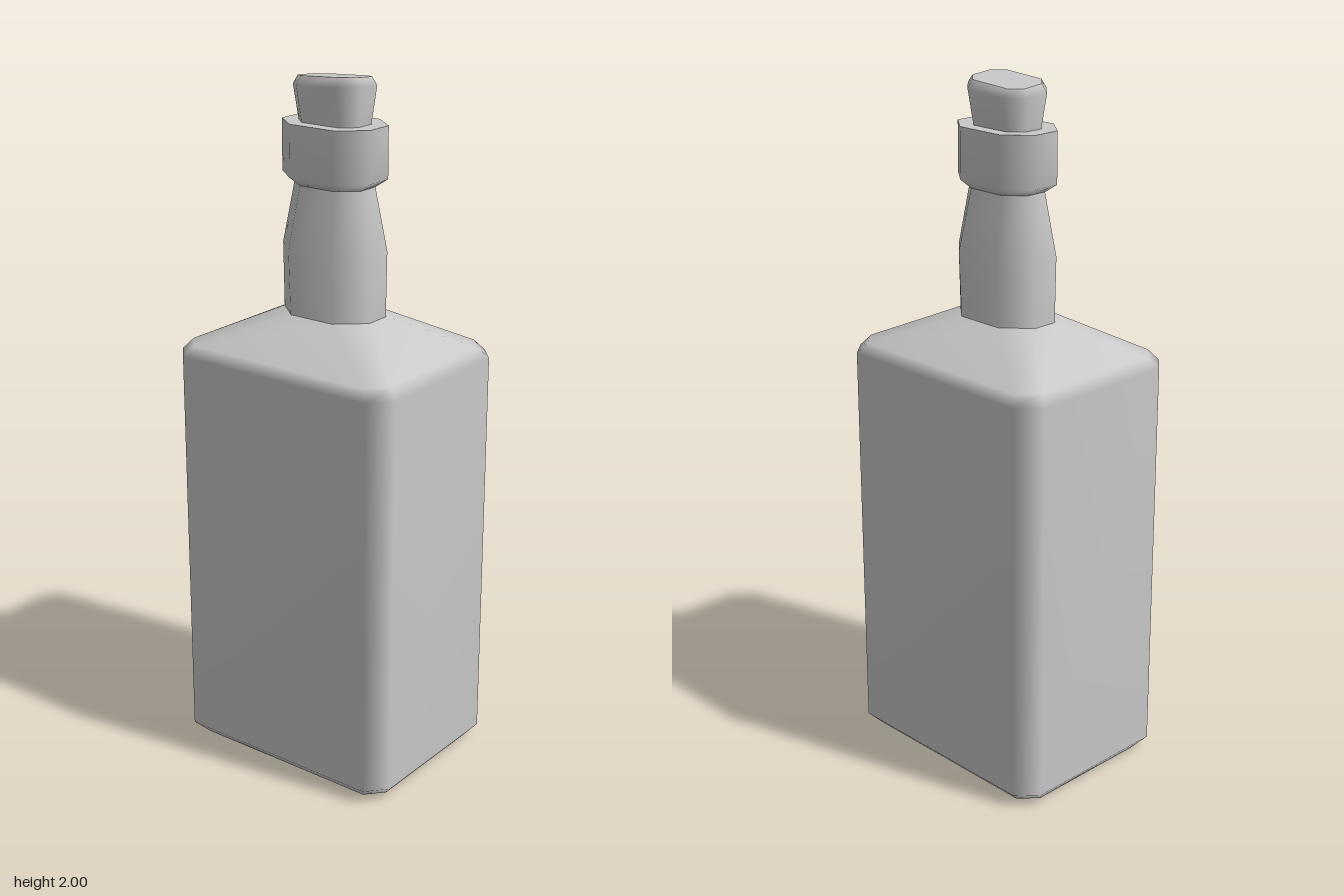
import * as THREE from 'three';

// Cut-corner rectangle in the xz plane: half sizes hx, hz and corner cuts cx, cz
function octagon(y, hx, hz, cx, cz, tiltX = 0, tiltZ = 0) {
  const ax = hx - cx, az = hz - cz;
  return [[hx, -az], [hx, az], [ax, hz], [-ax, hz], [-hx, az], [-hx, -az], [-ax, -hz], [ax, -hz]]
    .map(([x, z]) => [x, y + x * tiltX + z * tiltZ, z]);
}

// Smooth skin over a stack of rings, optionally closed at the ends
function loft(rings, capBottom, capTop) {
  const n = rings[0].length, index = [], last = (rings.length - 1) * n;
  for (let i = 0; i < rings.length - 1; i++) {
    for (let j = 0; j < n; j++) {
      const k = (j + 1) % n, a = i * n + j, b = i * n + k;
      index.push(a, a + n, b, b, a + n, b + n);
    }
  }
  for (let j = 1; j < n - 1; j++) {
    if (capBottom) index.push(0, j, j + 1);
    if (capTop) index.push(last, last + j + 1, last + j);
  }
  const geometry = new THREE.BufferGeometry();
  geometry.setAttribute('position', new THREE.Float32BufferAttribute(rings.flat(2), 3));
  geometry.setIndex(index);
  geometry.computeVertexNormals();
  return geometry;
}

// Flat face closing the top of a ring
function lid(ring) {
  const index = [];
  for (let j = 1; j < ring.length - 1; j++) index.push(0, j + 1, j);
  const geometry = new THREE.BufferGeometry();
  geometry.setAttribute('position', new THREE.Float32BufferAttribute(ring.flat(), 3));
  geometry.setIndex(index);
  geometry.computeVertexNormals();
  return geometry;
}

export function createModel() {
  const group = new THREE.Group();
  const grey = new THREE.MeshStandardMaterial({ name: 'light grey', color: 0xc8c8c8 });
  const add = (name, geometry) => {
    const mesh = new THREE.Mesh(geometry, grey);
    mesh.name = name;
    group.add(mesh);
  };

  // Body with bevelled base and sloping shoulders
  add('body', loft([
    octagon(0, 0.335, 0.245, 0.045, 0.05),
    octagon(0.04, 0.37, 0.284, 0.052, 0.058),
    octagon(1.21, 0.37, 0.284, 0.052, 0.058),
    octagon(1.24, 0.345, 0.262, 0.05, 0.055),
    octagon(1.335, 0.145, 0.103, 0.07, 0.06),
  ], true, false));

  // Neck, slightly swollen in the middle
  add('neck', loft([
    octagon(1.33, 0.147, 0.104, 0.073, 0.064),
    octagon(1.52, 0.147, 0.112, 0.073, 0.068),
    octagon(1.71, 0.112, 0.076, 0.055, 0.046),
  ], false, false));

  // Collar around the mouth
  const collarTop = octagon(1.865, 0.148, 0.103, 0.073, 0.06);
  add('collar', loft([
    octagon(1.695, 0.112, 0.078, 0.055, 0.046),
    octagon(1.72, 0.148, 0.103, 0.073, 0.06),
    collarTop,
  ], true, false));
  add('collarTop', lid(collarTop));

  // Stopper with a slightly tilted top
  const stopperTop = octagon(1.988, 0.1, 0.063, 0.034, 0.031, 0.06, 0.09);
  add('stopper', loft([
    octagon(1.86, 0.1, 0.064, 0.038, 0.035),
    octagon(1.965, 0.115, 0.081, 0.048, 0.046, 0.06, 0.06),
    stopperTop,
  ], false, false));
  add('stopperTop', lid(stopperTop));

  return group;
}
